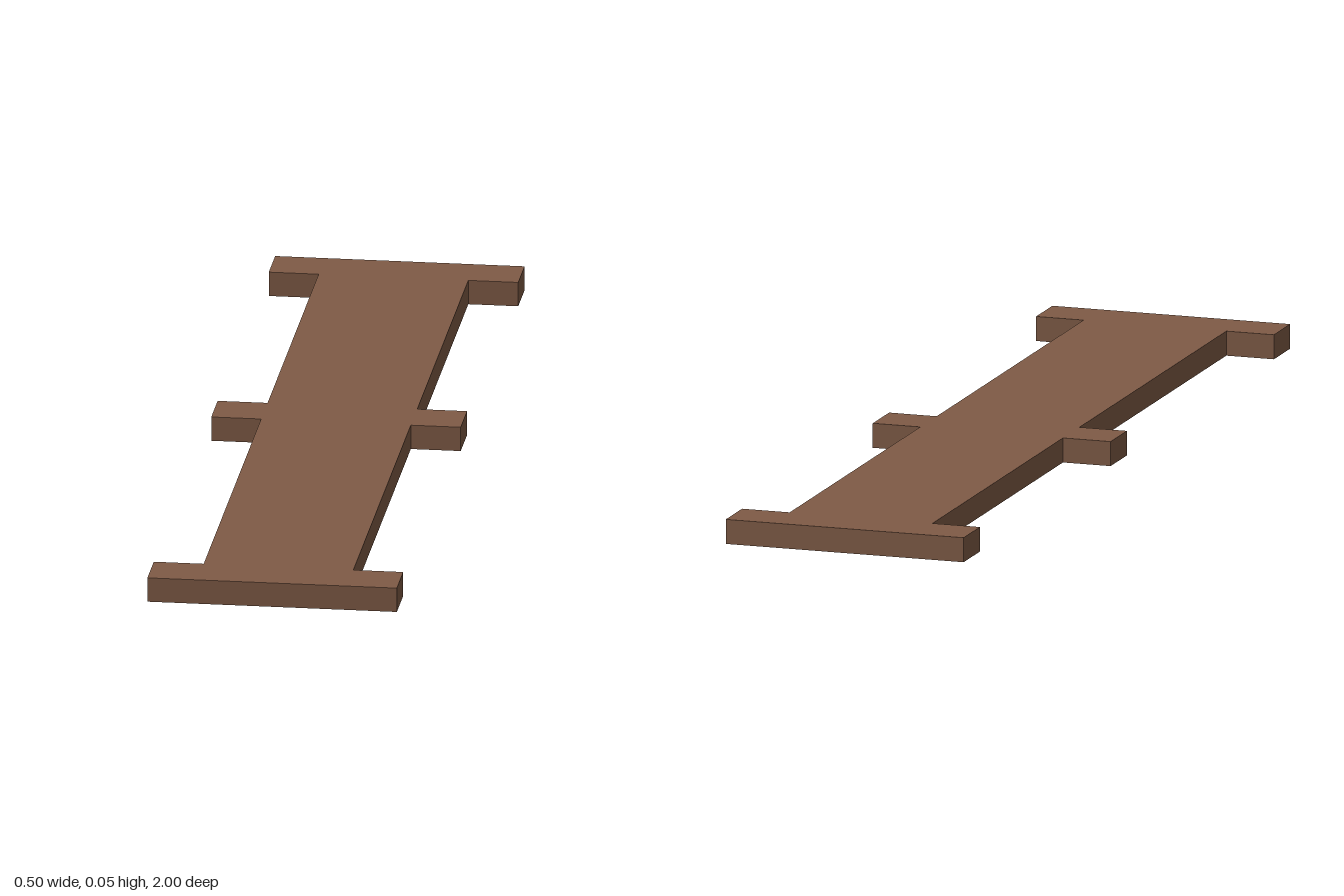
import * as THREE from 'three';

export function createModel() {
  const group = new THREE.Group();
  group.name = 'plank';
  const brown = new THREE.MeshStandardMaterial({ color: 0x7f5b46 });
  brown.name = 'brown wood';

  const narrow = 0.15, wide = 0.25, thickness = 0.05;

  // Right-hand edge of the outline, from front to back: [half width, z]
  const edge = [];
  for (const [back, front] of [[0.9, 1], [-0.1, 0], [-1, -0.9]]) {
    if (front < 1) edge.push([narrow, front]);
    edge.push([wide, front], [wide, back]);
    if (back > -1) edge.push([narrow, back]);
  }

  // Mirrored outline, laid flat after extrusion
  const right = edge.map(([x, z]) => new THREE.Vector2(x, -z));
  const left = edge.map(([x, z]) => new THREE.Vector2(-x, -z)).reverse();
  const geometry = new THREE.ExtrudeGeometry(new THREE.Shape([...right, ...left]), {
    depth: thickness,
    bevelEnabled: false,
  });
  geometry.rotateX(-Math.PI / 2);

  const board = new THREE.Mesh(geometry, brown);
  board.name = 'boardWithCrossbars';
  group.add(board);
  return group;
}
